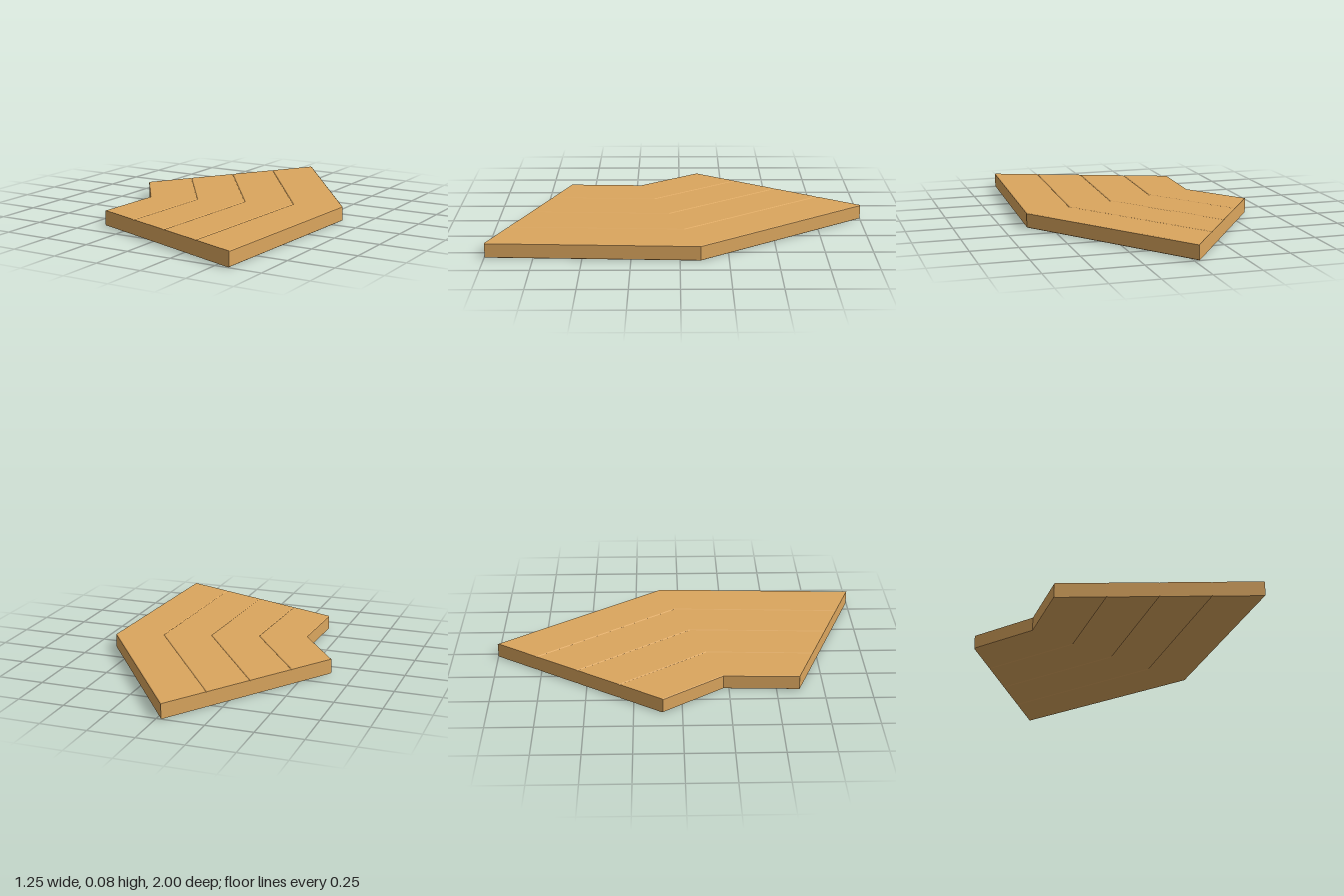
import * as THREE from 'three';

const HEIGHT = 0.08, BEVEL = 0.003, BEVEL_T = 0.016, PLANKS = 4;

// Inner and outer edge of the bent deck as [x, z]: back cut, bend, front cut
const INNER = [[-0.625, -0.1], [-0.395, 0.22], [-0.41, 0.62]];
const OUTER = [[-0.025, -1], [0.622, -0.105], [0.575, 0.997]];

// Bevelled plank section swept through the three cuts; u0..u1 is its share of the width
function plankGeometry(u0, u1) {
  const b = BEVEL_T / PLANKS * 1.2, top = HEIGHT;
  const section = [
    [u0 + b, 0], [u1 - b, 0], [u1, BEVEL], [u1, top - BEVEL],
    [u1 - b, top], [u0 + b, top], [u0, top - BEVEL], [u0, BEVEL],
  ];
  const loops = INNER.map(([x, z], s) => section.map(([u, y]) => [
    x + (OUTER[s][0] - x) * u, y, z + (OUTER[s][1] - z) * u,
  ]));
  const pos = [];
  const tri = (...corners) => corners.forEach((c) => pos.push(...c));
  const n = section.length;

  // Long faces
  for (let s = 0; s < loops.length - 1; s++) {
    for (let i = 0; i < n; i++) {
      const j = (i + 1) % n, p = loops[s], q = loops[s + 1];
      tri(p[i], p[j], q[j]);
      tri(p[i], q[j], q[i]);
    }
  }
  // End cuts
  const back = loops[0], front = loops[loops.length - 1];
  for (let i = 1; i < n - 1; i++) {
    tri(back[0], back[i + 1], back[i]);
    tri(front[0], front[i], front[i + 1]);
  }
  const geometry = new THREE.BufferGeometry();
  geometry.setAttribute('position', new THREE.Float32BufferAttribute(pos, 3));
  geometry.computeVertexNormals();
  return geometry;
}

export function createModel() {
  const model = new THREE.Group();
  model.name = 'bentPlankDeck';
  const wood = new THREE.MeshStandardMaterial({ color: 0xdba65e });
  wood.name = 'light wood';

  // Four bent planks side by side
  for (let i = 0; i < PLANKS; i++) {
    const plank = new THREE.Mesh(plankGeometry(i / PLANKS, (i + 1) / PLANKS), wood);
    plank.name = `plank${i + 1}`;
    model.add(plank);
  }
  return model;
}
